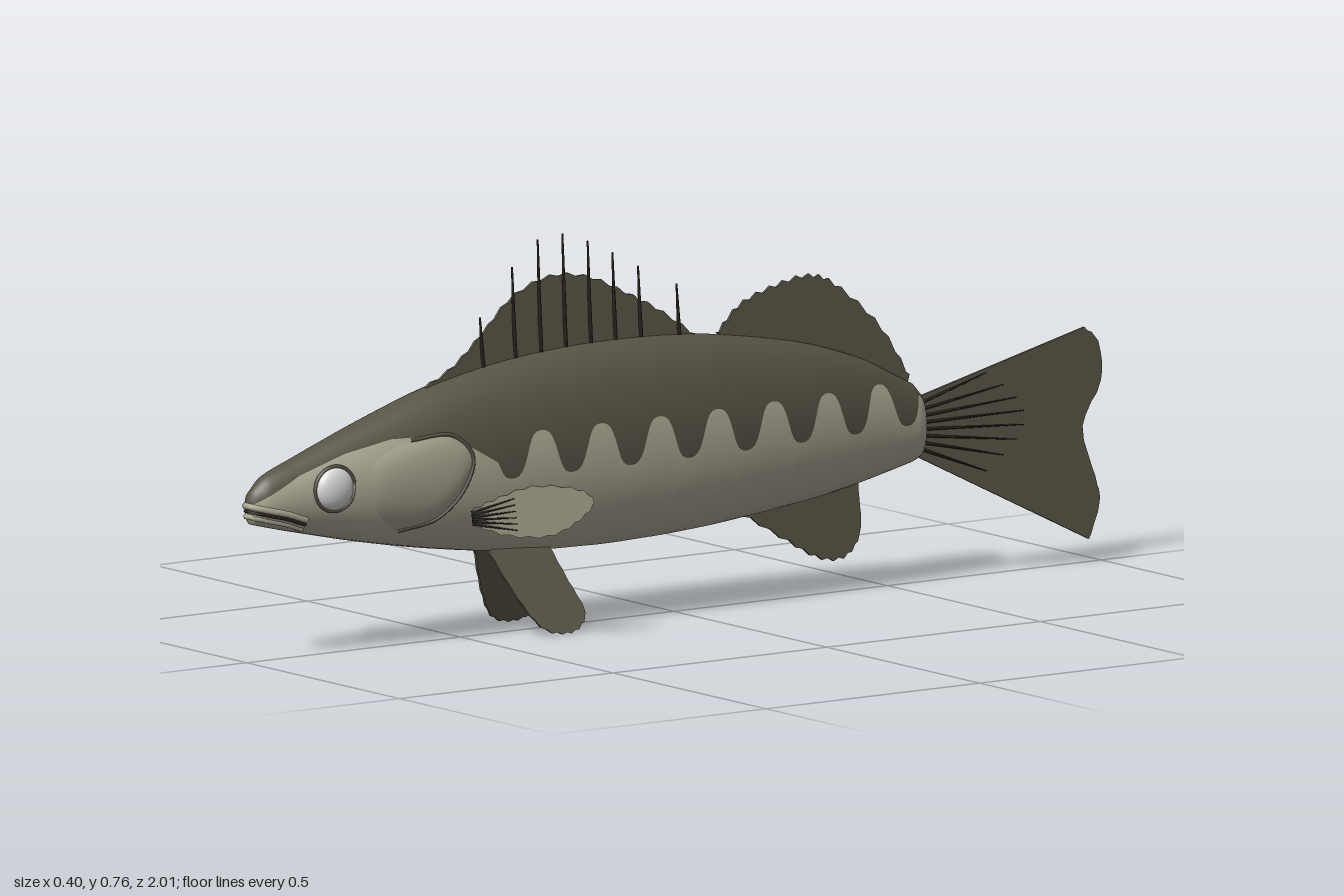
import * as THREE from 'three';

const mat = (name, color, side = THREE.FrontSide) => {
  const m = new THREE.MeshStandardMaterial({ color, side });
  m.name = name;
  return m;
};

// Body profile from snout to tail: z, top, bottom, half width
const ROWS = [
  [1.0, 0.312, 0.288, 0.001], [0.992, 0.335, 0.272, 0.018], [0.965, 0.36, 0.265, 0.031],
  [0.89, 0.39, 0.247, 0.046], [0.73, 0.448, 0.212, 0.067], [0.57, 0.498, 0.184, 0.083],
  [0.4, 0.53, 0.163, 0.093], [0.2, 0.545, 0.154, 0.097], [-0.02, 0.54, 0.161, 0.095],
  [-0.2, 0.516, 0.178, 0.085], [-0.33, 0.488, 0.194, 0.072], [-0.45, 0.446, 0.216, 0.055],
  [-0.555, 0.392, 0.24, 0.037], [-0.572, 0.372, 0.248, 0.03], [-0.578, 0.315, 0.305, 0.001],
];

// Smooth interpolation of the profile table
function section(z) {
  let i = 0;
  while (i < ROWS.length - 2 && z < ROWS[i + 1][0]) i++;
  const a = ROWS[i], b = ROWS[i + 1], dz = b[0] - a[0], t = (z - a[0]) / dz;
  const p = ROWS[Math.max(i - 1, 0)], n = ROWS[Math.min(i + 2, ROWS.length - 1)];
  const sharp = i < 2 || i > ROWS.length - 5;
  const [top, bottom, w] = [1, 2, 3].map((k) => {
    if (sharp) return a[k] + (b[k] - a[k]) * t;
    const m0 = (b[k] - p[k]) / (b[0] - p[0]) * dz, m1 = (n[k] - a[k]) / (n[0] - a[0]) * dz;
    const t2 = t * t, t3 = t2 * t;
    return (2 * t3 - 3 * t2 + 1) * a[k] + (t3 - 2 * t2 + t) * m0 + (3 * t2 - 2 * t3) * b[k] + (t3 - t2) * m1;
  });
  return { top, bottom, w, mid: (top + bottom) / 2, h: (top - bottom) / 2 };
}

function sideX(z, y) {
  const s = section(z), q = (y - s.mid) / s.h;
  return s.w * Math.sqrt(Math.max(0, 1 - q * q));
}

// Height where the dark back meets the pale flank
function markingY(z) {
  if (z > 0.47) {
    const pts = [[1, 0.31], [0.9, 0.362], [0.8, 0.395], [0.7, 0.415], [0.58, 0.415], [0.47, 0.35]];
    let i = 0;
    while (i < 4 && z < pts[i + 1][0]) i++;
    const [a, b] = [pts[i], pts[i + 1]];
    return a[1] + (b[1] - a[1]) * (z - a[0]) / (b[0] - a[0]);
  }
  return 0.362 + 0.048 * Math.tanh(1.5 * Math.cos(2 * Math.PI * (z - 0.373) / 0.137));
}

function bodyGeometry() {
  const zs = [1, 0.997];
  for (let i = 0; i <= 260; i++) zs.push(0.992 - i * (0.992 + 0.572) / 260);
  zs.push(-0.578);
  const pos = [], pale = [], dark = [], N = 10, R = 4 * N;
  zs.forEach((z, k) => {
    const s = section(z);
    const q = THREE.MathUtils.clamp((markingY(z) - s.mid) / s.h, -0.8, 0.8), a = Math.asin(q);
    for (let i = 0; i < R; i++) {
      const j = i <= 2 * N ? i : R - i;
      const t = j <= N ? -Math.PI / 2 + (a + Math.PI / 2) * j / N : a + (Math.PI / 2 - a) * (j - N) / N;
      pos.push((i <= 2 * N ? 1 : -1) * s.w * Math.cos(t), s.mid + s.h * Math.sin(t), z);
      if (k < zs.length - 1) {
        const p = k * R + i, u = k * R + (i + 1) % R;
        (i >= N && i < 3 * N ? dark : pale).push(p, p + R, u, u, p + R, u + R);
      }
    }
  });
  const g = new THREE.BufferGeometry();
  g.setAttribute('position', new THREE.Float32BufferAttribute(pos, 3));
  g.setIndex([...pale, ...dark]);
  g.addGroup(0, pale.length, 0);
  g.addGroup(pale.length, dark.length, 1);
  g.computeVertexNormals();
  return g;
}

// Thin plate whose outer edge is a toothed spline, closed by base points
function finGeometry(edge, base, steps, tooth, depth = 0.006) {
  const pts = new THREE.SplineCurve(edge.map((p) => new THREE.Vector2(...p))).getPoints(steps);
  pts.forEach((p, i) => { if (i % 2 && i < steps) p.y += tooth; });
  base.forEach((p) => pts.push(new THREE.Vector2(...p)));
  const g = new THREE.ExtrudeGeometry(new THREE.Shape(pts), { depth, bevelEnabled: false });
  return g.translate(0, 0, -depth / 2);
}

// Slightly domed plate lying on the body side, outlined in (z, y)
function gillGeometry(outline, cz, cy) {
  const rim = outline.getPoints(48).slice(0, 48), pos = [], idx = [], rings = 8;
  for (let r = 0; r <= rings; r++) rim.forEach((p, i) => {
    const f = r / rings, z = cz + (p.z - cz) * f, y = cy + (p.y - cy) * f;
    pos.push(sideX(z, y) + 0.008 * (1 - f ** 6) - 0.001, y, z);
    if (r < rings) {
      const a = r * 48 + i, b = r * 48 + (i + 1) % 48;
      idx.push(a, a + 48, b, b, a + 48, b + 48);
    }
  });
  const g = new THREE.BufferGeometry();
  g.setAttribute('position', new THREE.Float32BufferAttribute(pos, 3));
  g.setIndex(idx);
  g.computeVertexNormals();
  return g;
}

export function createModel() {
  const model = new THREE.Group();
  const back = mat('dark olive back', 0x575345);
  const belly = mat('pale belly', 0xb0ac98);
  const finMat = mat('olive fin', 0x5e5a4b, THREE.DoubleSide);
  const paleFin = mat('pale fin', 0x9c9884, THREE.DoubleSide);
  const gill = mat('gill cover', 0xa5a18e, THREE.DoubleSide);
  const ink = mat('dark rays', 0x26241d);
  const white = mat('eye', 0xdcdcdc);

  const add = (parent, name, geo, material) => {
    const m = new THREE.Mesh(geo, material);
    m.name = name;
    parent.add(m);
    return m;
  };
  const rod = (parent, name, a, b, r0, r1 = r0) => {
    const A = new THREE.Vector3(...a), B = new THREE.Vector3(...b), d = B.clone().sub(A);
    const m = add(parent, name, new THREE.CylinderGeometry(r1, r0, d.length(), 6), ink);
    m.position.copy(A).add(B).multiplyScalar(0.5);
    m.quaternion.setFromUnitVectors(new THREE.Vector3(0, 1, 0), d.normalize());
  };
  const tube = (parent, name, pts, r, material, closed = false) => add(parent, name,
    new THREE.TubeGeometry(new THREE.CatmullRomCurve3(pts.map((p) => new THREE.Vector3(...p)), closed), 48, r, 6, closed), material);

  add(model, 'body', bodyGeometry(), [belly, back]);

  // Fins on the centre line, drawn in (z, y)
  const midFin = (name, edge, base, steps, tooth) =>
    add(model, name, finGeometry(edge, base, steps, tooth).rotateY(-Math.PI / 2), finMat);
  midFin('spinyDorsalFin', [[0.6, 0.492], [0.52, 0.53], [0.45, 0.588], [0.38, 0.652], [0.29, 0.685], [0.2, 0.675],
    [0.115, 0.637], [0.035, 0.595], [-0.05, 0.538]], [[0.1, 0.51], [0.3, 0.51], [0.5, 0.48]], 36, -0.006);
  midFin('softDorsalFin', [[-0.1, 0.535], [-0.155, 0.587], [-0.235, 0.615], [-0.315, 0.627], [-0.38, 0.602],
    [-0.48, 0.515], [-0.55, 0.41]], [[-0.54, 0.37], [-0.42, 0.43], [-0.25, 0.48], [-0.12, 0.51]], 32, -0.008);
  midFin('analFin', [[-0.165, 0.172], [-0.265, 0.113], [-0.34, 0.073], [-0.4, 0.07], [-0.435, 0.115], [-0.43, 0.2]],
    [[-0.43, 0.24], [-0.17, 0.2]], 24, 0.006);
  midFin('tailFin', [[-0.96, 0.46], [-0.992, 0.43], [-0.998, 0.355], [-0.955, 0.27], [-0.985, 0.17], [-0.995, 0.12], [-0.97, 0.05]],
    [[-0.565, 0.25], [-0.565, 0.362]], 24, -0.003);

  // Dorsal spines: z and tip height
  [[0.46, 0.62], [0.385, 0.71], [0.325, 0.757], [0.267, 0.763], [0.208, 0.743], [0.15, 0.715], [0.09, 0.683], [0.0, 0.64]]
    .forEach(([z, y]) => rod(model, 'dorsalSpine', [0, 0.51, z - 0.015], [0.009, y, z], 0.0055, 0.002));

  // Tail rays
  for (let i = 0; i < 8; i++) {
    const t = i / 7, end = -0.73 - 0.09 * Math.sin(t * Math.PI);
    for (const x of [-0.003, 0.003])
      rod(model, 'tailRay', [x, 0.265 + 0.085 * t, -0.57], [x, 0.205 + 0.19 * t, end], 0.0035, 0.001);
  }

  // Mouth line and upper lip
  const lip = [[0.885, 0.265], [0.925, 0.279], [0.965, 0.289], [0.988, 0.295]];
  const mouth = (dy, out) => {
    const side = lip.map(([z, y]) => [sideX(z, y + dy) + out, y + dy, z]);
    return [...side, [0, 0.298 + dy, 0.999], ...side.slice().reverse().map(([x, y, z]) => [-x, y, z])];
  };
  tube(model, 'mouthLine', mouth(0, 0), 0.0035, ink);
  tube(model, 'upperLip', mouth(0.01, -0.002), 0.007, belly);
  tube(model, 'lowerLip', mouth(-0.01, -0.003), 0.006, belly);

  // Paired parts, built on the left and mirrored
  for (const s of [1, -1]) {
    const half = new THREE.Group();
    half.name = s > 0 ? 'leftSide' : 'rightSide';
    half.scale.x = s;
    model.add(half);

    const eye = add(half, 'eye', new THREE.SphereGeometry(0.042, 32, 20), white);
    eye.scale.x = 0.5;
    eye.position.set(0.05, 0.332, 0.83);
    const ring = add(half, 'eyeRing', new THREE.TorusGeometry(0.043, 0.004, 8, 36), back);
    ring.rotation.y = Math.PI / 2 - 0.1;
    ring.position.set(0.052, 0.332, 0.83);

    const rim = [[0.75, 0.37], [0.66, 0.41], [0.57, 0.412], [0.53, 0.37], [0.548, 0.31], [0.6, 0.255], [0.68, 0.235], [0.745, 0.29]];
    const outline = new THREE.CatmullRomCurve3(rim.map(([z, y]) => new THREE.Vector3(0, y, z)), true);
    add(half, 'gillCover', gillGeometry(outline, 0.635, 0.325), gill);
    tube(half, 'gillEdge', rim.slice(1, 7).map(([z, y]) => [sideX(z, y), y, z]), 0.004, back);

    const pectoral = new THREE.Group();
    pectoral.name = 'pectoralFin';
    pectoral.position.set(0.081, 0.25, 0.53);
    pectoral.rotation.set(0, 1.05, 0.1);
    half.add(pectoral);
    add(pectoral, 'pectoralBlade', finGeometry([[0, -0.014], [0.06, -0.042], [0.14, -0.054], [0.2, -0.032], [0.235, 0.003],
      [0.2, 0.032], [0.12, 0.045], [0.05, 0.03], [0, 0.012]], [], 36, 0.004, 0.004), paleFin);
    for (let i = 0; i < 6; i++) for (const z of [-0.002, 0.002])
      rod(pectoral, 'pectoralRay', [0, -0.012 + 0.0045 * i, z], [0.085, -0.034 + 0.0125 * i, z], 0.003, 0.001);

    const pelvic = finGeometry([[0.45, 0.165], [0.41, 0.08], [0.37, 0.022], [0.325, 0.006], [0.285, 0.012], [0.262, 0.042],
      [0.285, 0.1], [0.31, 0.165]], [[0.33, 0.19], [0.43, 0.19]], 28, 0.004).rotateY(-Math.PI / 2);
    const p = pelvic.attributes.position;
    for (let i = 0; i < p.count; i++) p.setX(i, p.getX(i) + 0.027 + (0.16 - p.getY(i)) * 0.4);
    pelvic.computeVertexNormals();
    add(half, 'pelvicFin', pelvic, finMat);
  }
  return model;
}
